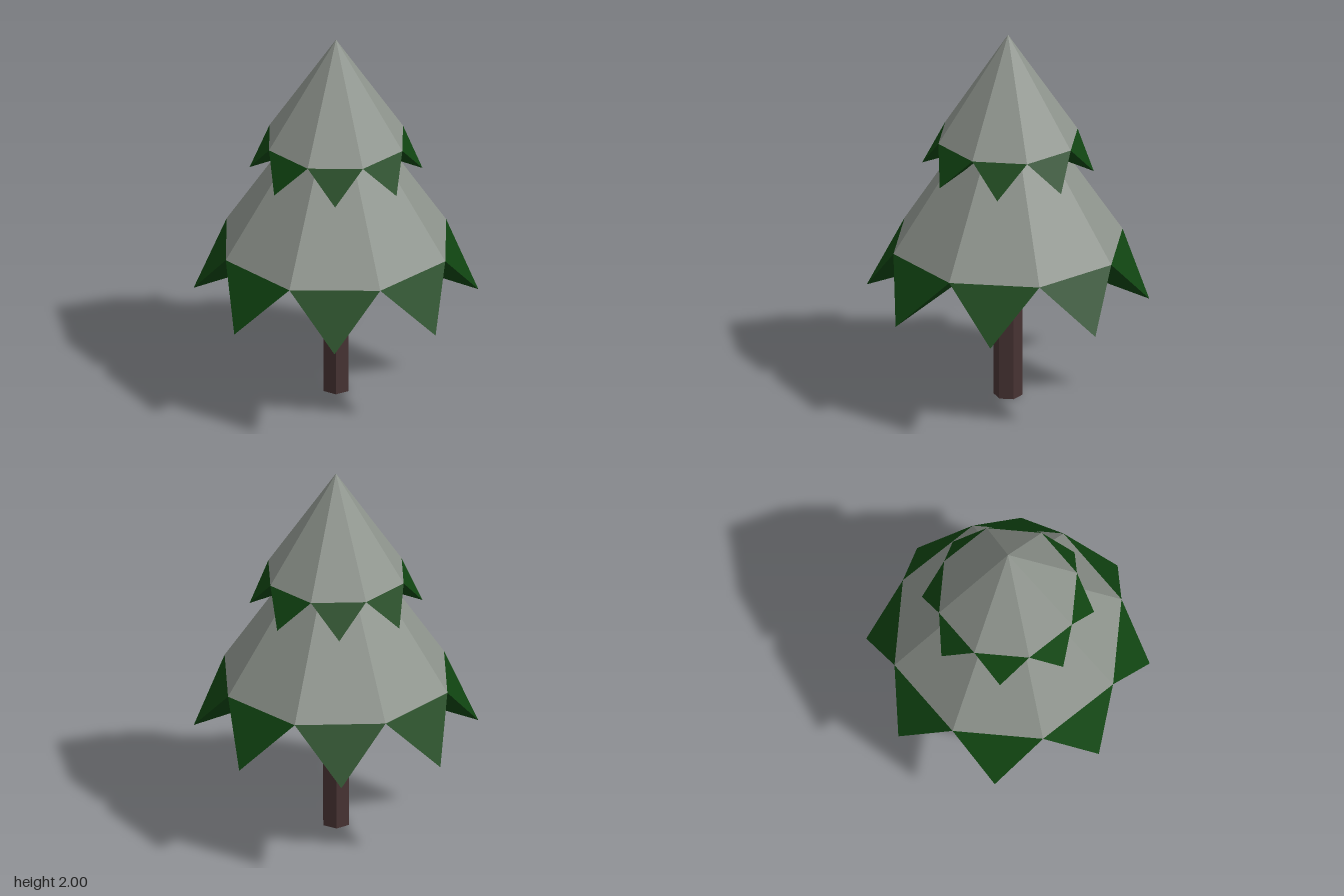
import * as THREE from 'three';

const SIDES = 8;

function mat(name, color) {
  const m = new THREE.MeshStandardMaterial({ color, flatShading: true });
  m.name = name;
  return m;
}

// Point on a circle of radius r; whole steps are branch tips, half steps lie between them
function polar(step, r, y) {
  const a = (step / SIDES) * Math.PI * 2;
  return [Math.sin(a) * r, y, Math.cos(a) * r];
}

function facets(name, triangles, material) {
  const geo = new THREE.BufferGeometry();
  geo.setAttribute('position', new THREE.Float32BufferAttribute(triangles.flat(2), 3));
  geo.computeVertexNormals();
  const mesh = new THREE.Mesh(geo, material);
  mesh.name = name;
  return mesh;
}

// One layer: snowy pyramid, pointed green fringe and ridged underside
function createTier(name, rimY, scale, snow, needles) {
  const apex = [0, 0.93, 0];
  const hub = [0, -0.03, 0];
  const cap = [], fringe = [], under = [];
  for (let i = 0; i < SIDES; i++) {
    const left = polar(i - 0.5, 0.605, 0);
    const right = polar(i + 0.5, 0.605, 0);
    const tip = polar(i, 0.725, -0.28);
    cap.push([apex, left, right]);
    fringe.push([left, tip, right]);
    under.push([hub, tip, left], [hub, right, tip]);
  }
  const tier = new THREE.Group();
  tier.name = name;
  tier.add(
    facets('snowCap', cap, snow),
    facets('branchFringe', fringe, needles),
    facets('branchUnderside', under, needles)
  );
  tier.scale.setScalar(scale);
  tier.position.y = rimY;
  return tier;
}

export function createModel() {
  const snow = mat('snow', 0x8e948d);
  const needles = mat('needles', 0x104411);
  const bark = mat('bark', 0x473333);
  const cutWood = mat('cutWood', 0x6b5530);

  const tree = new THREE.Group();
  tree.name = 'snowyFir';

  // Six-sided trunk with pale cut ends
  const trunk = new THREE.Mesh(
    new THREE.CylinderGeometry(0.074, 0.074, 0.83, 6),
    [bark, cutWood, cutWood]
  );
  trunk.name = 'trunk';
  trunk.position.y = 0.415;
  tree.add(trunk);

  // Two layers of the same shape, the upper one smaller
  tree.add(createTier('lowerTier', 0.85, 1, snow, needles));
  tree.add(createTier('upperTier', 1.435, 0.6075, snow, needles));
  return tree;
}
